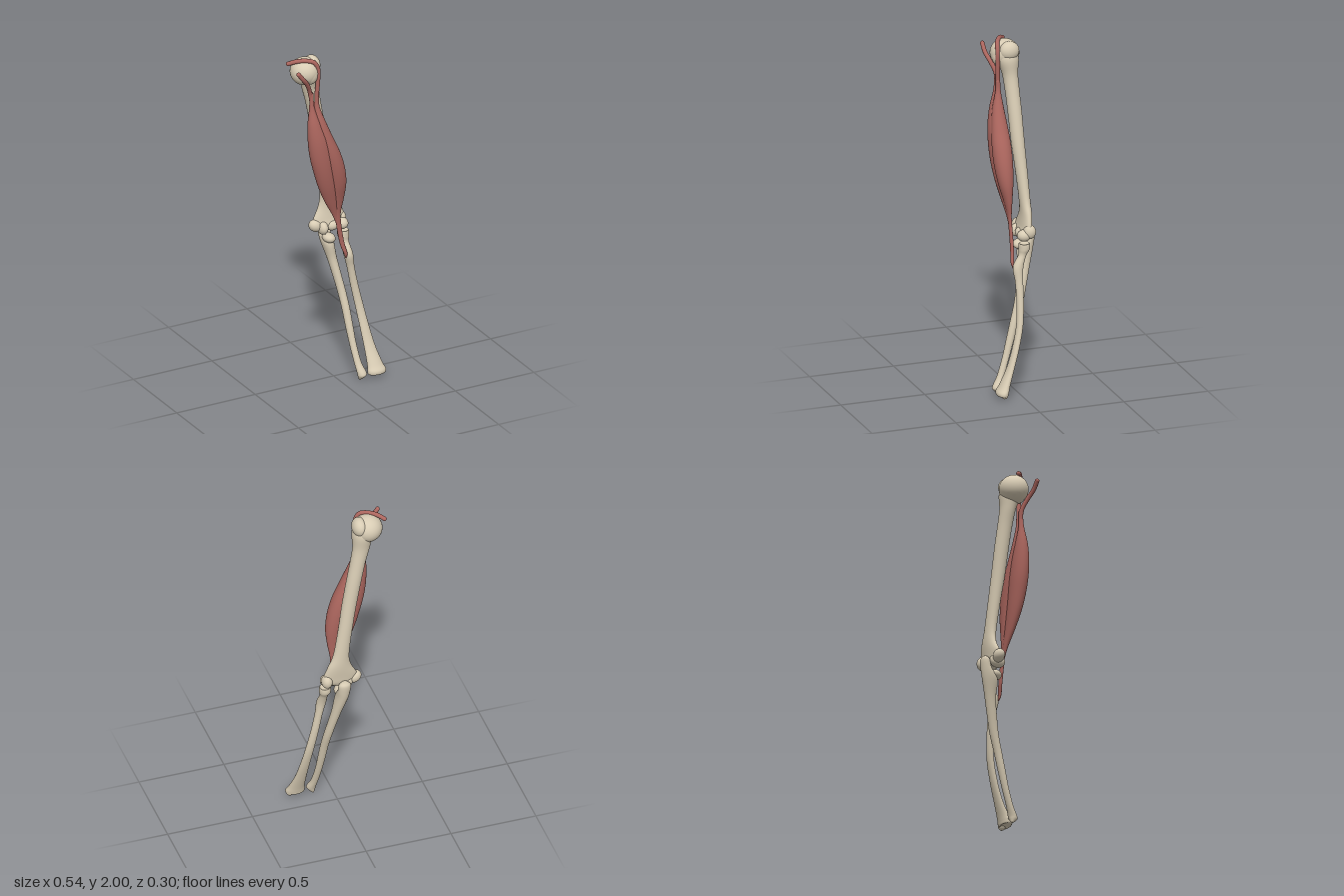
import * as THREE from 'three';

const bone = new THREE.MeshStandardMaterial({ color: 0xd8ccb4 });
bone.name = 'bone';
const muscle = new THREE.MeshStandardMaterial({ color: 0xac665e });
muscle.name = 'muscle';

// Smooth closed skin over horizontal ellipses, listed top down as [x, y, z, radiusX, radiusZ]
function loft(name, stations, material, steps = 6, sides = 28) {
  const centres = new THREE.CatmullRomCurve3(stations.map(s => new THREE.Vector3(s[0], s[1], s[2])), false, 'catmullrom', 0.5);
  const radii = new THREE.CatmullRomCurve3(stations.map(s => new THREE.Vector3(s[3], s[4], 0)), false, 'catmullrom', 0.5);
  const rings = (stations.length - 1) * steps;
  const pos = [], index = [];
  for (let i = 0; i <= rings; i++) {
    const c = centres.getPoint(i / rings), r = radii.getPoint(i / rings);
    for (let j = 0; j < sides; j++) {
      const a = j / sides * Math.PI * 2;
      pos.push(c.x + Math.max(r.x, 0.002) * Math.cos(a), c.y, c.z + Math.max(r.y, 0.002) * Math.sin(a));
    }
  }
  for (let i = 0; i < rings; i++) {
    for (let j = 0; j < sides; j++) {
      const k = (j + 1) % sides;
      const a = i * sides + j, b = i * sides + k, c = a + sides, d = b + sides;
      index.push(a, b, c, b, d, c);
    }
  }
  // End caps
  const top = pos.length / 3, last = rings * sides;
  pos.push(...centres.getPoint(0).toArray(), ...centres.getPoint(1).toArray());
  for (let j = 0; j < sides; j++) {
    const k = (j + 1) % sides;
    index.push(top, k, j, top + 1, last + j, last + k);
  }
  const g = new THREE.BufferGeometry();
  g.setAttribute('position', new THREE.Float32BufferAttribute(pos, 3));
  g.setIndex(index);
  g.computeVertexNormals();
  const mesh = new THREE.Mesh(g, material);
  mesh.name = name;
  return mesh;
}

// Ellipsoid knob
function knob(name, [x, y, z], [rx, ry, rz], tilt = 0, material = bone) {
  const mesh = new THREE.Mesh(new THREE.SphereGeometry(1, 32, 20), material);
  mesh.scale.set(rx, ry, rz);
  mesh.position.set(x, y, z);
  mesh.rotation.z = tilt;
  mesh.name = name;
  return mesh;
}

// Round cord with a rounded free end
function cord(name, points, radius) {
  const group = new THREE.Group();
  group.name = name;
  const curve = new THREE.CatmullRomCurve3(points.map(p => new THREE.Vector3(...p)));
  const tube = new THREE.Mesh(new THREE.TubeGeometry(curve, 60, radius, 14), muscle);
  tube.name = name + 'Strand';
  group.add(tube, knob(name + 'End', points[0], [radius, radius, radius], 0, muscle));
  return group;
}

function createHumerus() {
  const g = new THREE.Group();
  g.name = 'upperArmBone';
  g.add(
    loft('upperArmShaft', [
      [-0.125, 1.95, -0.04, 0.03, 0.04],
      [-0.13, 1.89, -0.042, 0.058, 0.062],
      [-0.122, 1.8, -0.052, 0.05, 0.045],
      [-0.1, 1.7, -0.058, 0.044, 0.041],
      [-0.075, 1.58, -0.064, 0.043, 0.04],
      [-0.045, 1.42, -0.07, 0.042, 0.038],
      [-0.02, 1.27, -0.08, 0.041, 0.034],
      [0.008, 1.1, -0.09, 0.046, 0.03],
      [0.02, 1.02, -0.092, 0.068, 0.029],
      [0.015, 0.95, -0.085, 0.098, 0.03],
      [0.015, 0.91, -0.078, 0.095, 0.032],
      [0.015, 0.885, -0.075, 0.06, 0.02],
    ], bone),
    knob('shoulderBall', [-0.165, 1.91, -0.036], [0.084, 0.08, 0.083]),
    knob('outerTubercle', [-0.114, 1.935, -0.045], [0.044, 0.055, 0.058]),
    knob('frontTubercle', [-0.15, 1.9, 0.0], [0.045, 0.06, 0.045]),
    knob('innerEpicondyle', [-0.073, 0.915, -0.08], [0.042, 0.034, 0.032], -0.6),
    knob('outerEpicondyle', [0.092, 0.925, -0.09], [0.032, 0.042, 0.036]),
    knob('capitulum', [0.085, 0.905, -0.06], [0.036, 0.034, 0.04]),
    knob('trochleaInner', [-0.035, 0.9, -0.068], [0.03, 0.04, 0.046]),
    knob('trochleaOuter', [0.025, 0.905, -0.068], [0.04, 0.032, 0.038]),
  );
  return g;
}

function createUlna() {
  const g = new THREE.Group();
  g.name = 'innerForearmBone';
  g.add(
    loft('innerForearmShaft', [
      [0.0, 0.925, -0.128, 0.018, 0.014],
      [0.0, 0.905, -0.128, 0.035, 0.025],
      [0.002, 0.86, -0.12, 0.036, 0.03],
      [0.008, 0.8, -0.093, 0.036, 0.046],
      [0.03, 0.7, -0.078, 0.028, 0.033],
      [0.05, 0.6, -0.056, 0.025, 0.029],
      [0.068, 0.5, -0.032, 0.024, 0.026],
      [0.079, 0.4, -0.002, 0.023, 0.023],
      [0.086, 0.3, 0.025, 0.022, 0.022],
      [0.094, 0.2, 0.053, 0.02, 0.02],
      [0.105, 0.1, 0.088, 0.021, 0.02],
      [0.117, 0.045, 0.113, 0.027, 0.026],
      [0.115, 0.025, 0.115, 0.022, 0.022],
      [0.108, 0.004, 0.107, 0.006, 0.007],
    ], bone),
    knob('coronoidLip', [0.005, 0.83, -0.065], [0.037, 0.028, 0.042], -0.25),
  );
  return g;
}

function createRadius() {
  const g = new THREE.Group();
  g.name = 'outerForearmBone';
  g.add(
    loft('outerForearmShaft', [
      [0.093, 0.858, -0.058, 0.022, 0.02],
      [0.093, 0.862, -0.058, 0.032, 0.031],
      [0.093, 0.83, -0.057, 0.033, 0.032],
      [0.096, 0.795, -0.045, 0.023, 0.023],
      [0.102, 0.73, -0.018, 0.027, 0.03],
      [0.117, 0.65, -0.018, 0.022, 0.023],
      [0.14, 0.53, -0.016, 0.023, 0.02],
      [0.165, 0.4, -0.003, 0.025, 0.019],
      [0.182, 0.28, 0.026, 0.028, 0.019],
      [0.195, 0.17, 0.062, 0.034, 0.02],
      [0.206, 0.08, 0.1, 0.046, 0.028],
      [0.21, 0.045, 0.116, 0.056, 0.034],
      [0.21, 0.025, 0.118, 0.052, 0.03],
      [0.21, 0.028, 0.118, 0.03, 0.018],
    ], bone),
    knob('wristPoint', [0.242, 0.034, 0.114], [0.022, 0.024, 0.02]),
  );
  return g;
}

function createBiceps() {
  const g = new THREE.Group();
  g.name = 'biceps';
  g.add(
    // Inner belly
    loft('innerBelly', [
      [-0.15, 1.79, 0.016, 0.011, 0.012],
      [-0.15, 1.7, 0.02, 0.015, 0.016],
      [-0.138, 1.6, 0.028, 0.04, 0.034],
      [-0.118, 1.5, 0.032, 0.06, 0.046],
      [-0.1, 1.4, 0.032, 0.066, 0.049],
      [-0.08, 1.3, 0.03, 0.061, 0.045],
      [-0.055, 1.2, 0.024, 0.054, 0.036],
      [-0.025, 1.1, 0.014, 0.04, 0.023],
      [0.008, 1.0, 0.003, 0.018, 0.011],
      [0.028, 0.93, 0.0, 0.008, 0.007],
    ], muscle),
    // Outer belly, running down into the elbow tendon
    loft('outerBellyAndTendon', [
      [-0.118, 1.77, 0.02, 0.011, 0.012],
      [-0.118, 1.7, 0.02, 0.016, 0.016],
      [-0.1, 1.6, 0.026, 0.034, 0.034],
      [-0.069, 1.5, 0.028, 0.045, 0.047],
      [-0.036, 1.4, 0.029, 0.056, 0.055],
      [-0.008, 1.3, 0.028, 0.058, 0.053],
      [0.012, 1.2, 0.023, 0.051, 0.042],
      [0.02, 1.1, 0.013, 0.036, 0.024],
      [0.024, 1.0, 0.004, 0.018, 0.011],
      [0.037, 0.9, 0.0, 0.015, 0.01],
      [0.054, 0.81, 0.0, 0.014, 0.01],
      [0.072, 0.75, 0.006, 0.011, 0.009],
      [0.078, 0.715, 0.002, 0.003, 0.003],
    ], muscle),
    // Long tendon arching over the shoulder ball
    cord('longTendon', [
      [-0.258, 1.965, -0.058], [-0.225, 1.981, -0.032], [-0.18, 1.988, -0.004],
      [-0.137, 1.978, 0.018], [-0.114, 1.94, 0.024], [-0.113, 1.86, 0.024],
      [-0.12, 1.76, 0.02], [-0.118, 1.68, 0.02],
    ], 0.0125),
    // Short tendon reaching inward
    cord('shortTendon', [
      [-0.257, 1.947, 0.062], [-0.225, 1.905, 0.058], [-0.19, 1.86, 0.04],
      [-0.162, 1.8, 0.018], [-0.15, 1.74, 0.017], [-0.149, 1.68, 0.02],
    ], 0.0125),
  );
  return g;
}

export function createModel() {
  const model = new THREE.Group();
  model.name = 'armBonesWithBiceps';
  model.add(createHumerus(), createUlna(), createRadius(), createBiceps());
  return model;
}
